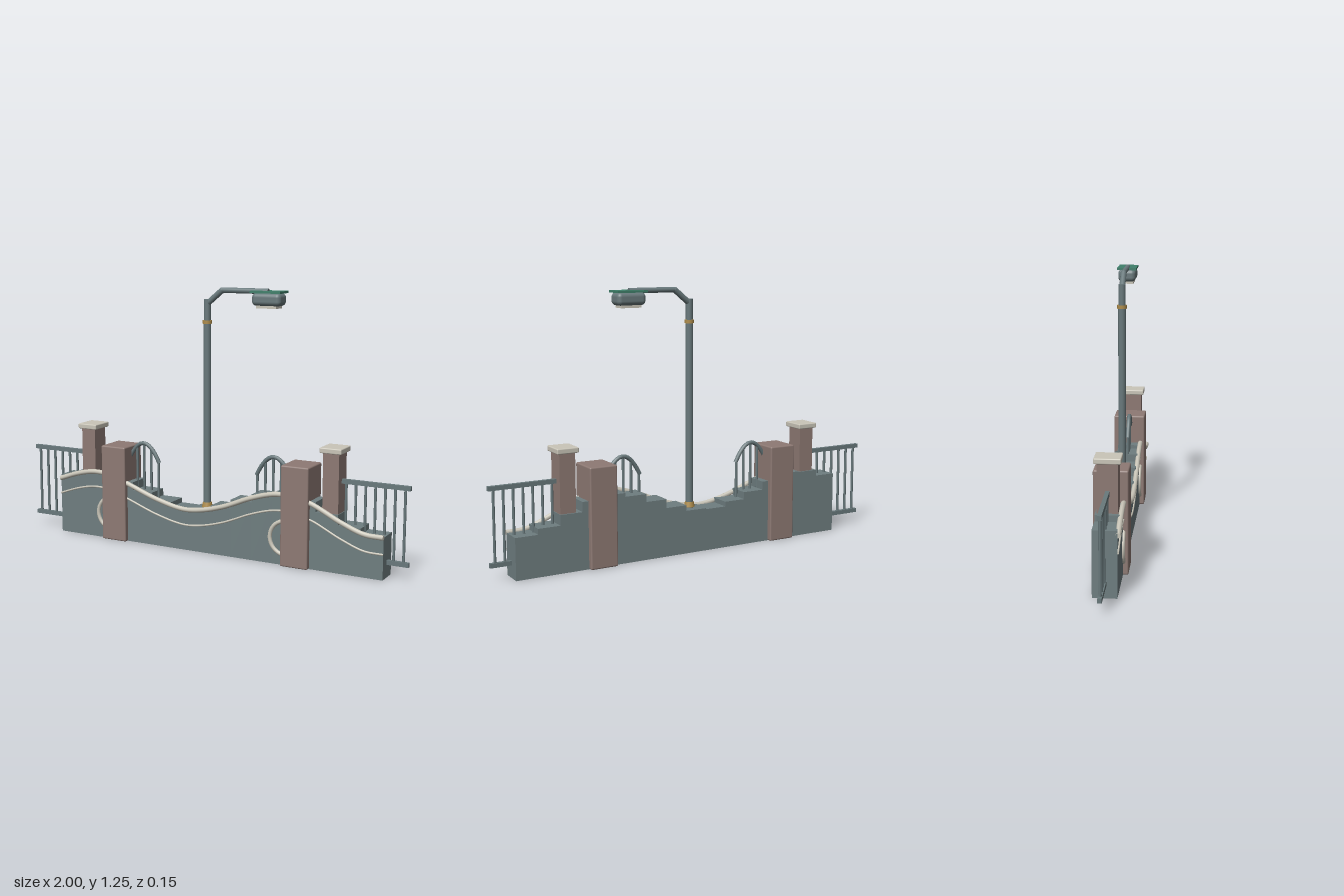
import * as THREE from 'three';
import { RoundedBoxGeometry } from 'three/addons/geometries/RoundedBoxGeometry.js';

const mat = (name, color) => {
  const m = new THREE.MeshStandardMaterial({ color });
  m.name = name;
  return m;
};

export function createModel() {
  const stone = mat('grey stone', 0x6f7e80);
  const brick = mat('brown brick', 0x8e7a74);
  const cream = mat('cream trim', 0xcac6b9);
  const metal = mat('grey metal', 0x69797c);
  const green = mat('green cover', 0x3f7f6a);
  const gold = mat('gold band', 0xae8c4b);

  const model = new THREE.Group();
  model.name = 'wallWithStreetLamp';
  const V = (x, y, z = 0) => new THREE.Vector3(x, y, z);

  function add(name, geometry, material, x = 0, y = 0, z = 0, parent = model) {
    const mesh = new THREE.Mesh(geometry, material);
    mesh.name = name;
    mesh.position.set(x, y, z);
    parent.add(mesh);
    return mesh;
  }
  const box = (name, w, h, d, m, x, y, z, parent) =>
    add(name, new THREE.BoxGeometry(w, h, d), m, x, y, z, parent);

  // Straight round bar between two points
  function rod(name, a, b, r, m, parent, sides = 10) {
    const dir = b.clone().sub(a);
    const mid = a.clone().add(b).multiplyScalar(0.5);
    const mesh = add(name, new THREE.CylinderGeometry(r, r, dir.length(), sides), m, mid.x, mid.y, mid.z, parent);
    mesh.quaternion.setFromUnitVectors(V(0, 1, 0), dir.normalize());
    return mesh;
  }

  // Wave that the wall top and its trims follow
  const wave = new THREE.CatmullRomCurve3([
    [-0.81, 0.275], [-0.7, 0.312], [-0.6, 0.33], [-0.5, 0.32], [-0.4, 0.285],
    [-0.25, 0.232], [-0.1, 0.2], [0.0, 0.208], [0.12, 0.24], [0.27, 0.3],
    [0.4, 0.33], [0.54, 0.31], [0.7, 0.237], [0.81, 0.197], [0.9, 0.193],
  ].map(([x, y]) => V(x, y)));
  const samples = wave.getPoints(400);
  const heightAt = (x) => samples.reduce((p, q) => (Math.abs(q.x - x) < Math.abs(p.x - x) ? q : p)).y;

  // Stepped wall
  const wall = new THREE.Group();
  wall.name = 'steppedWall';
  model.add(wall);
  const steps = 16, stepWidth = 1.71 / steps;
  for (let i = 0; i < steps; i++) {
    const x = -0.81 + (i + 0.5) * stepWidth;
    const h = heightAt(x);
    box('wallStep', stepWidth, h, 0.106, stone, x, h / 2, 0, wall);
  }

  // Coping and thin moulding along the front of the wall
  function trim(name, drop, r, z) {
    const path = new THREE.CatmullRomCurve3(wave.getPoints(40).map((p) => V(p.x, p.y - drop, z)));
    add(name, new THREE.TubeGeometry(path, 90, r, 8), cream);
    for (const t of [0, 1]) {
      const p = path.getPoint(t);
      const cap = add(name + 'End', new THREE.CircleGeometry(r, 8), cream, p.x, p.y, p.z);
      cap.rotation.y = t ? Math.PI / 2 : -Math.PI / 2;
    }
  }
  trim('coping', 0, 0.012, 0.056);
  trim('thinMoulding', 0.076, 0.005, 0.055);

  // Round mouldings half hidden by the gate pillars
  for (const x of [-0.505, 0.435])
    add('ringMoulding', new THREE.TorusGeometry(0.08, 0.01, 8, 36), cream, x, 0.128, 0.055);

  for (const s of [-1, 1]) {
    // Pillars
    add('widePillar', new RoundedBoxGeometry(0.135, 0.47, 0.154, 2, 0.007), brick, s * 0.483, 0.235, 0);
    box('narrowPillar', 0.076, 0.44, 0.09, brick, s * 0.645, 0.32, 0);
    add('pillarCap', new RoundedBoxGeometry(0.104, 0.025, 0.116, 2, 0.005), cream, s * 0.645, 0.552, 0);

    // End fence
    const fence = new THREE.Group();
    fence.name = 'endFence';
    model.add(fence);
    for (const y of [0.07, 0.412])
      box('fenceRail', 0.32, 0.02, 0.018, metal, s * 0.84, y, 0, fence);
    for (let i = 0; i < 7; i++) {
      const x = s * (0.975 - i * 0.0455);
      rod('fenceBar', V(x, 0.07), V(x, 0.41), 0.0065, metal, fence, 8);
    }

    // Arched railing
    const railing = new THREE.Group();
    railing.name = 'archedRailing';
    model.add(railing);
    const archPoint = (x) => V(s * x, 0.488 - 12 * (x - 0.349) ** 2, 0.005);
    const archXs = [0.438, 0.415, 0.385, 0.365, 0.349, 0.333, 0.313, 0.285, 0.262];
    const arch = new THREE.CatmullRomCurve3(archXs.map(archPoint));
    add('archRail', new THREE.TubeGeometry(arch, 16, 0.01, 8), metal, 0, 0, 0, railing);
    for (const x of [0.425, 0.386, 0.347, 0.307, 0.266]) {
      const top = archPoint(x);
      rod('archBar', V(top.x, 0.2, 0.005), top, 0.0065, metal, railing, 8);
    }
  }

  // Lamp post with gold bands
  const lamp = new THREE.Group();
  lamp.name = 'streetLamp';
  model.add(lamp);
  rod('post', V(0, 0.19), V(0, 1.09), 0.018, metal, lamp, 14);
  rod('upperPost', V(0, 1.09), V(0, 1.195), 0.0165, metal, lamp, 14);
  add('baseBand', new THREE.CylinderGeometry(0.021, 0.026, 0.024, 16), gold, 0, 0.224, 0, lamp);
  add('upperBand', new THREE.CylinderGeometry(0.0225, 0.0225, 0.016, 16), gold, 0, 1.091, 0, lamp);

  // Bent arm
  rod('armElbow', V(0, 1.175), V(0.078, 1.239), 0.014, metal, lamp, 12);
  rod('arm', V(0.072, 1.239), V(0.312, 1.239), 0.0125, metal, lamp, 12);
  add('armJoint', new THREE.SphereGeometry(0.0135, 12, 8), metal, 0.076, 1.238, 0, lamp);

  // Lamp head: cover, rounded body and lens
  box('headCover', 0.15, 0.01, 0.092, green, 0.314, 1.237, 0, lamp);
  add('headBody', new RoundedBoxGeometry(0.142, 0.058, 0.084, 4, 0.02), metal, 0.314, 1.204, 0, lamp);
  box('lens', 0.1, 0.012, 0.06, cream, 0.314, 1.17, 0, lamp);

  return model;
}
